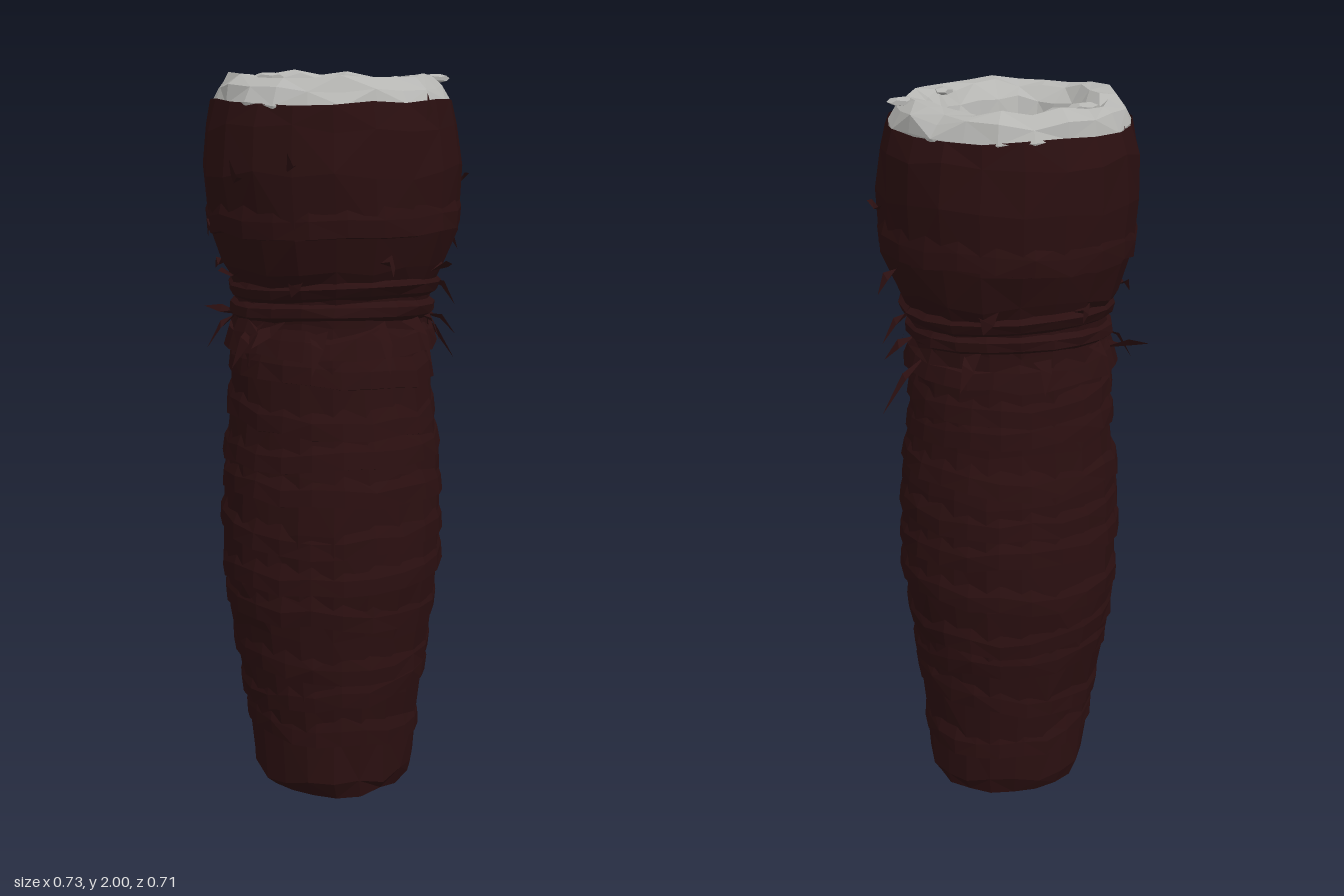
import * as THREE from 'three';

// Small seeded generator so the torn, uneven surface is repeatable
let seed = 11;
const rnd = () => {
  seed = (seed * 16807) % 2147483647;
  return seed / 2147483647 * 2 - 1;
};

// Outline of the wrapped post: y, left x, right x, back z, front z
const OUTLINE = [
  [0.0, -0.19, 0.24, -0.23, 0.2], [0.05, -0.205, 0.255, -0.245, 0.23],
  [0.2, -0.215, 0.265, -0.245, 0.24], [0.32, -0.235, 0.285, -0.255, 0.26],
  [0.5, -0.265, 0.305, -0.285, 0.285], [0.65, -0.285, 0.325, -0.305, 0.3],
  [0.8, -0.285, 0.325, -0.305, 0.3], [0.95, -0.28, 0.32, -0.3, 0.29],
  [1.1, -0.265, 0.3, -0.28, 0.275], [1.25, -0.255, 0.285, -0.27, 0.265],
  [1.37, -0.25, 0.275, -0.27, 0.25], [1.43, -0.25, 0.285, -0.28, 0.25],
  [1.5, -0.285, 0.325, -0.315, 0.29], [1.6, -0.315, 0.355, -0.34, 0.32],
  [1.75, -0.328, 0.362, -0.352, 0.338], [1.86, -0.325, 0.35, -0.345, 0.325],
  [1.92, -0.305, 0.332, -0.33, 0.312],
];

// Point on the post at angle a (0 = +x, quarter turn = +z), pushed out by off
function surface(a, y, off = 0) {
  let i = 0;
  while (i < OUTLINE.length - 2 && y > OUTLINE[i + 1][0]) i++;
  const p = OUTLINE[i], q = OUTLINE[i + 1];
  const t = (y - p[0]) / (q[0] - p[0]);
  const [, l, r, b, f] = p.map((v, k) => v + (q[k] - v) * t);
  return [(l + r) / 2 + Math.cos(a) * ((r - l) / 2 + off), y,
    (b + f) / 2 + Math.sin(a) * ((f - b) / 2 + off)];
}

// Faceted geometry from points and triangles
function faceted(points, index) {
  const g = new THREE.BufferGeometry();
  g.setAttribute('position', new THREE.Float32BufferAttribute(points.flat(), 3));
  g.setIndex(index);
  const flat = g.toNonIndexed();
  flat.computeVertexNormals();
  return flat;
}

// Skin over equal-length closed rings, listed from bottom to top
function skin(rings) {
  const n = rings[0].length, index = [];
  for (let j = 0; j < rings.length - 1; j++) {
    for (let i = 0; i < n; i++) {
      const a = j * n + i, b = j * n + (i + 1) % n;
      if ((i + j) % 2) index.push(a, a + n, b, b, a + n, b + n);
      else index.push(a, b + n, b, a, a + n, b + n);
    }
  }
  return faceted(rings.flat(), index);
}

const ring = (n, fn) => Array.from({ length: n }, (_, i) => fn(i / n * Math.PI * 2));

export function createModel() {
  seed = 11;
  const group = new THREE.Group();
  const cloth = new THREE.MeshStandardMaterial({ color: 0x2a0f10, side: THREE.DoubleSide });
  cloth.name = 'dark brown wrapping';
  const stone = new THREE.MeshStandardMaterial({ color: 0xb6b6b3, side: THREE.DoubleSide });
  stone.name = 'pale grey stone';
  const add = (name, geometry, material, parent = group) => {
    const mesh = new THREE.Mesh(geometry, material);
    mesh.name = name;
    parent.add(mesh);
    return mesh;
  };

  // Wrapped post, closed underneath
  const body = OUTLINE.map(([y], j) => ring(20, a => {
    const edge = j === 0 || j === OUTLINE.length - 1;
    const p = surface(a, y, rnd() * 0.005);
    p[1] += edge ? Math.abs(rnd()) * 0.015 : rnd() * 0.018;
    return p;
  }));
  body.unshift(ring(20, () => [0.025, 0.005, -0.015]));
  add('wrappedPost', skin(body), cloth);

  // Overlapping strips: lower lip stands proud, upper edge tucks in
  const strips = new THREE.Group();
  strips.name = 'wrappingStrips';
  group.add(strips);
  const levels = [0.16, 0.29, 0.4, 0.52, 0.64, 0.76, 0.87, 0.98, 1.09, 1.19, 1.6];
  levels.forEach((y, k) => {
    const tilt = 0.025 + 0.015 * rnd(), phase = k * 2.1;
    const wave = ring(22, () => rnd() * 0.01);
    const strip = [[-0.004, -0.006], [0.0, 0.009], [0.045, 0.007], [0.09, -0.008]].map(([dy, off]) => {
      let i = 0;
      return ring(22, a => surface(a, y + dy + tilt * Math.sin(a + phase) + wave[i++],
        off + rnd() * 0.003));
    });
    add('strip', skin(strip), cloth, strips);
  });

  // Cord tied around the neck
  for (const y of [1.385, 1.44]) {
    const cord = [[-0.025, -0.005], [-0.01, 0.016], [0.015, 0.016], [0.03, -0.005]].map(
      ([dy, off]) => ring(20, a => surface(a, y + dy + 0.012 * Math.sin(a * 2 + y * 9), off + rnd() * 0.004)));
    add('neckCord', skin(cord), cloth);
  }

  // Ragged skirt hanging below the cord
  const skirt = [0, 1, 2].map(k => ring(26, a => surface(a,
    1.37 - k * 0.045 + (k === 0 ? Math.abs(rnd()) * -0.05 : rnd() * 0.008), k * 0.011 + 0.004)));
  skirt.reverse();
  add('raggedSkirt', skin(skirt), cloth);

  // Torn flaps and loose threads: angle, height, width, reach, rise
  const tatters = new THREE.Group();
  tatters.name = 'tornTatters';
  group.add(tatters);
  const flap = (deg, y, width, reach, rise) => {
    const a = deg * Math.PI / 180, w = width / 0.6;
    const mid = reach * 0.55;
    add('tatter', faceted([
      surface(a - w, y + 0.02, -0.005), surface(a + w, y, -0.005),
      surface(a - w * 0.6, y + rise * 0.35, mid), surface(a + w * 0.5, y + rise * 0.4 + 0.02, mid),
      surface(a + w * 0.3, y + rise, reach),
    ], [0, 2, 1, 1, 2, 3, 2, 4, 3]), cloth, tatters);
  };
  [[2, 1.36, 0.07, 0.075, -0.11], [28, 1.35, 0.06, 0.09, -0.1], [62, 1.34, 0.06, 0.05, -0.1],
    [88, 1.35, 0.06, 0.095, -0.04], [105, 1.34, 0.07, 0.06, -0.1], [140, 1.35, 0.06, 0.07, -0.09],
    [165, 1.33, 0.018, 0.12, 0.02], [182, 1.36, 0.06, 0.05, -0.1], [222, 1.35, 0.06, 0.04, -0.08],
    [262, 1.36, 0.06, 0.06, -0.08], [296, 1.33, 0.03, 0.13, -0.14], [318, 1.35, 0.05, 0.08, -0.06],
    [345, 1.37, 0.05, 0.05, -0.08],
    [30, 1.53, 0.03, 0.06, -0.03], [75, 1.47, 0.05, 0.03, -0.03], [118, 1.47, 0.06, 0.04, 0.02],
    [150, 1.49, 0.05, 0.04, -0.02], [200, 1.48, 0.05, 0.03, -0.03], [250, 1.48, 0.06, 0.04, -0.04],
    [300, 1.57, 0.025, 0.075, -0.06], [308, 1.44, 0.02, 0.1, -0.08], [350, 1.49, 0.05, 0.04, 0.02],
    [72, 1.76, 0.025, 0.02, 0.05], [100, 1.72, 0.04, 0.018, 0.07], [318, 1.7, 0.03, 0.03, 0.03],
    [178, 1.87, 0.025, 0.012, 0.07], [5, 1.88, 0.025, 0.012, 0.07], [130, 1.62, 0.04, 0.02, -0.05],
  ].forEach(t => flap(...t));

  // Rough stone rim curling into a funnel-shaped hollow: radius x, radius z, y, jitter
  const rim = [
    [0.305, 0.307, 1.88, 0.003], [0.312, 0.315, 1.925, 0.005], [0.296, 0.3, 1.962, 0.009],
    [0.262, 0.265, 1.986, 0.011], [0.222, 0.224, 1.98, 0.011], [0.19, 0.188, 1.945, 0.009],
    [0.175, 0.172, 1.885, 0.006], [0.1, 0.1, 1.83, 0.006], [0.012, 0.014, 1.785, 0.003], [0, 0, 1.77, 0],
  ].map(([rx, rz, y, jit], j) => ring(22, a => {
    const drift = Math.min(1, j / 6);
    const k = rnd() * jit;
    return [0.014 * (1 - drift) + Math.cos(a) * (rx + k),
      Math.min(2, y + rnd() * jit * 1.2), -0.008 - 0.008 * drift + Math.sin(a) * (rz + k)];
  }));
  add('hollowStoneRim', skin(rim), stone);

  // Loose chips lying on the rim
  [[0.22, 0.0, 0.035], [0.225, -0.19, 0.04], [-0.22, -0.04, 0.045]].forEach(([x, z, s]) => {
    const chip = new THREE.DodecahedronGeometry(s, 0);
    chip.scale(1, 0.3, 0.8);
    const mesh = add('rimChip', chip, stone);
    mesh.position.set(x, 1.98, z);
    mesh.rotation.y = x * 9 + z * 5;
  });
  return group;
}
